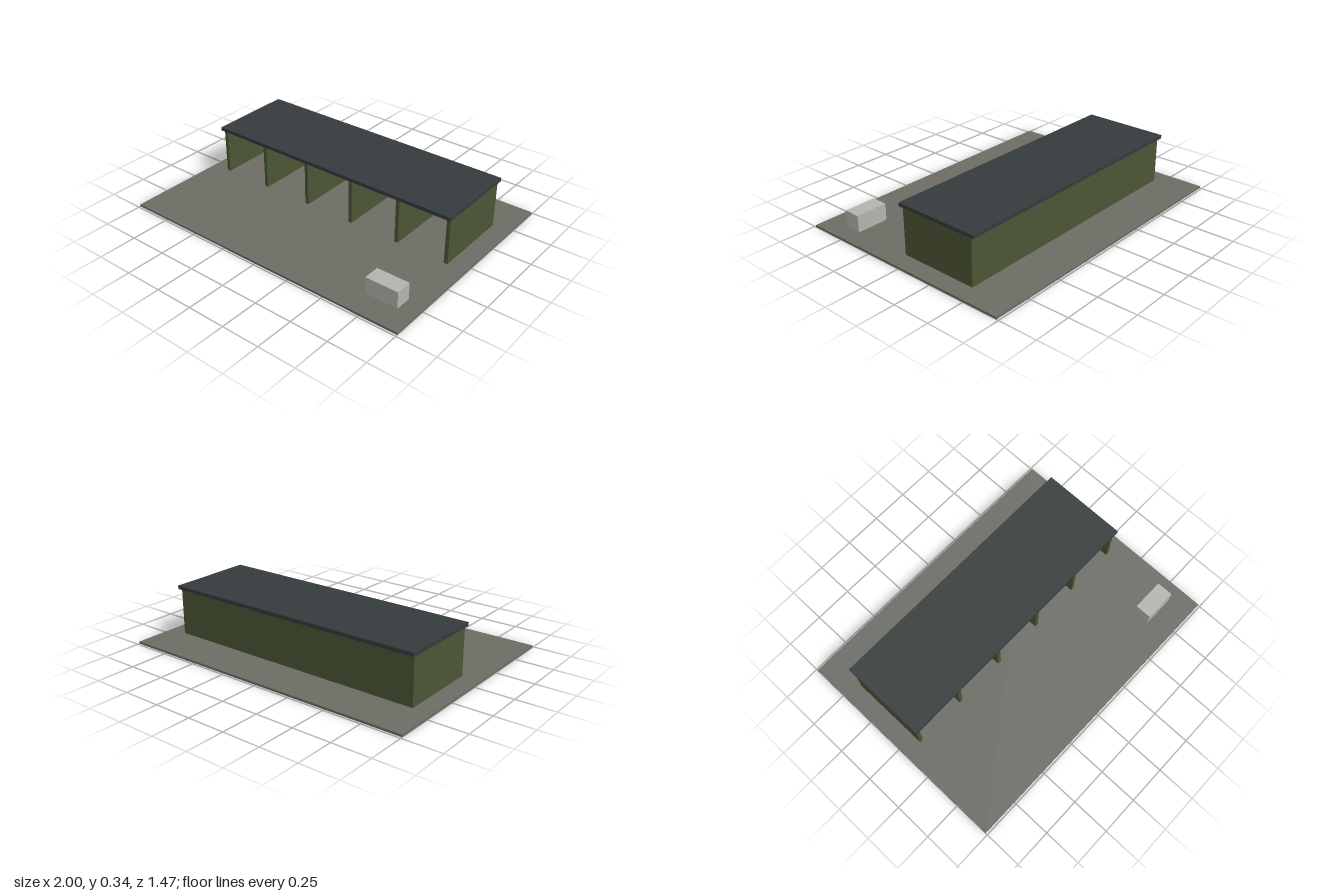
import * as THREE from 'three';

const paint = (name, color) => {
  const m = new THREE.MeshStandardMaterial({ color });
  m.name = name;
  return m;
};

export function createModel() {
  const model = new THREE.Group();
  model.name = 'openBayShed';

  const concrete = paint('concrete grey', 0x6c6c65);
  const green = paint('olive green', 0x4b5635);
  const slate = paint('dark slate', 0x353b3c);
  const pale = paint('pale grey', 0xb4b4ad);

  // Box given by its minimum and maximum corners
  const block = (name, material, [x0, y0, z0], [x1, y1, z1]) => {
    const mesh = new THREE.Mesh(new THREE.BoxGeometry(x1 - x0, y1 - y0, z1 - z0), material);
    mesh.position.set((x0 + x1) / 2, (y0 + y1) / 2, (z0 + z1) / 2);
    mesh.name = name;
    model.add(mesh);
  };

  const ground = 0.014, eaves = 0.32, wall = 0.025;
  const back = -0.457, front = 0.066, halfWidth = 0.881;

  // Yard slab
  block('yardSlab', concrete, [-1, 0, -0.737], [1, ground, 0.737]);

  // Rear wall and the dividing walls of five open bays
  block('backWall', green, [-halfWidth, ground, back], [halfWidth, eaves, back + wall]);
  const bays = 5;
  const pitch = (2 * halfWidth - wall) / bays;
  for (let i = 0; i <= bays; i++) {
    const x = -halfWidth + i * pitch;
    const name = i === 0 || i === bays ? 'endWall' : 'bayDivider';
    block(name, green, [x, ground, back + wall], [x + wall, eaves, front]);
  }

  // Flat overhanging roof
  block('roof', slate, [-0.891, eaves, -0.479], [0.891, 0.343, 0.088]);

  // Storage box in the yard
  block('storageBox', pale, [0.673, ground, 0.469], [0.889, 0.124, 0.577]);

  return model;
}
